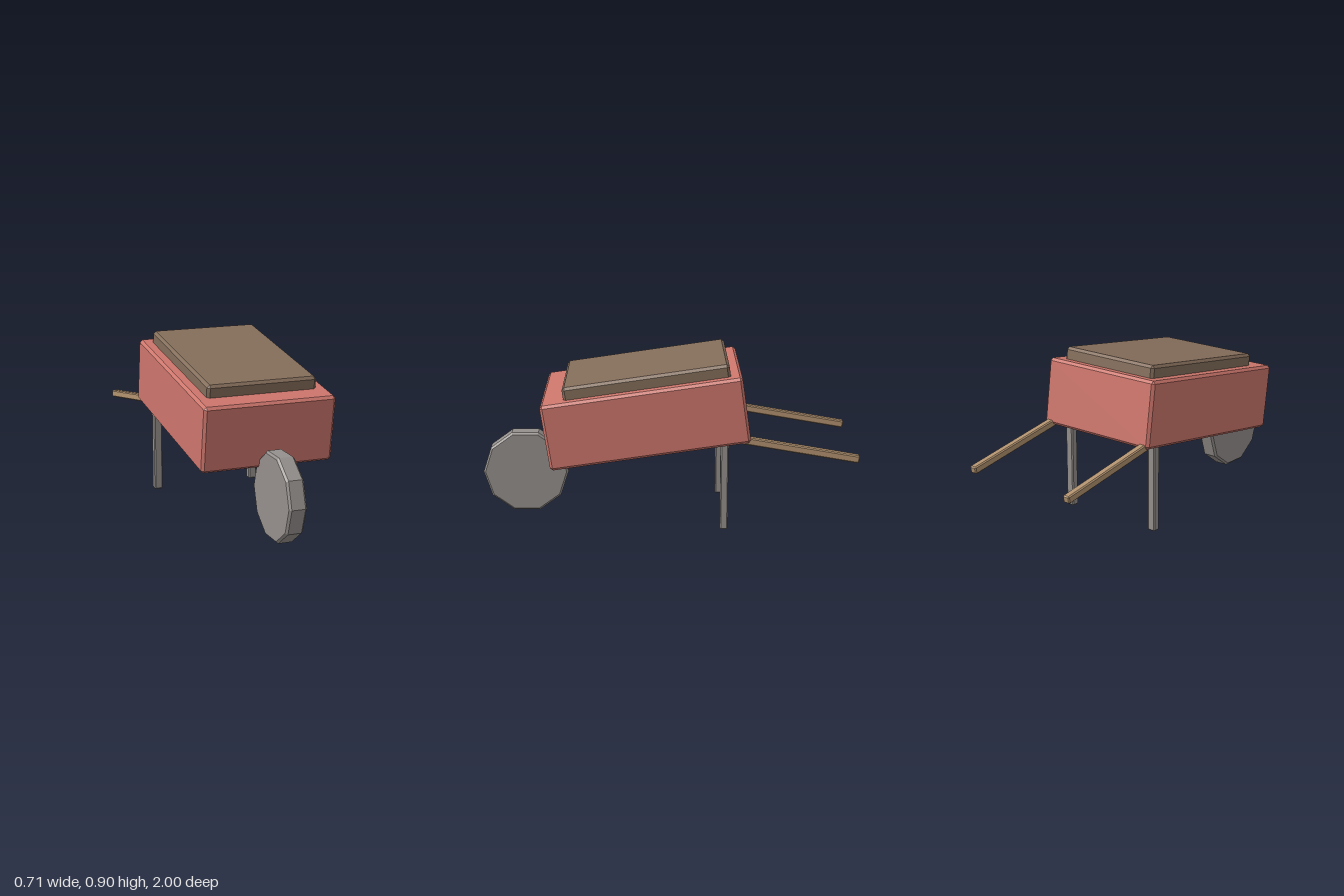
import * as THREE from 'three';
import { ConvexGeometry } from 'three/addons/geometries/ConvexGeometry.js';

const paint = (name, color) => {
  const m = new THREE.MeshStandardMaterial({ color, flatShading: true });
  m.name = name;
  return m;
};

// Box with all edges cut flat by c
function chamferBox(w, h, d, c) {
  const points = [];
  for (const sx of [-1, 1]) for (const sy of [-1, 1]) for (const sz of [-1, 1]) {
    const x = w / 2, y = h / 2, z = d / 2;
    points.push(
      new THREE.Vector3(sx * x, sy * (y - c), sz * (z - c)),
      new THREE.Vector3(sx * (x - c), sy * y, sz * (z - c)),
      new THREE.Vector3(sx * (x - c), sy * (y - c), sz * z)
    );
  }
  return new ConvexGeometry(points);
}

export function createModel() {
  const red = paint('red tray paint', 0xcd766c);
  const soil = paint('brown soil', 0x846d5a);
  const grey = paint('grey metal', 0x95908d);
  const wood = paint('light wood', 0xb39370);

  const model = new THREE.Group();
  model.name = 'wheelbarrow';
  const add = (name, geometry, material, x, y, z, tilt = 0) => {
    const mesh = new THREE.Mesh(geometry, material);
    mesh.name = name;
    mesh.position.set(x, y, z);
    mesh.rotation.x = tilt;
    model.add(mesh);
    return mesh;
  };

  // Tray and its load, sloping down to the front
  const slope = 0.143;
  add('tray', chamferBox(0.708, 0.352, 1.054, 0.014), red, 0, 0.593, 0.117, slope);
  add('load', chamferBox(0.592, 0.16, 0.874, 0.014), soil, 0, 0.757, 0.108, slope);

  // Ten-sided front wheel with cut rims
  const R = 0.231, W = 0.047, c = 0.011;
  const profile = [[0, -W], [R - c, -W], [R, -W + c], [R, W - c], [R - c, W], [0, W]]
    .map(([x, y]) => new THREE.Vector2(x, y));
  const wheel = add('wheel', new THREE.LatheGeometry(profile, 10), grey, 0, 0.238, 0.769);
  wheel.rotation.z = Math.PI / 2;

  // Legs and handles, mirrored
  for (const [side, s] of [['left', 1], ['right', -1]]) {
    add(side + 'Leg', chamferBox(0.046, 0.5, 0.042, 0.006), grey, s * 0.284, 0.25, -0.294);
    add(side + 'Handle', chamferBox(0.04, 0.04, 0.76, 0.006), wood, s * 0.316, 0.461, -0.622, -0.175);
  }
  return model;
}
